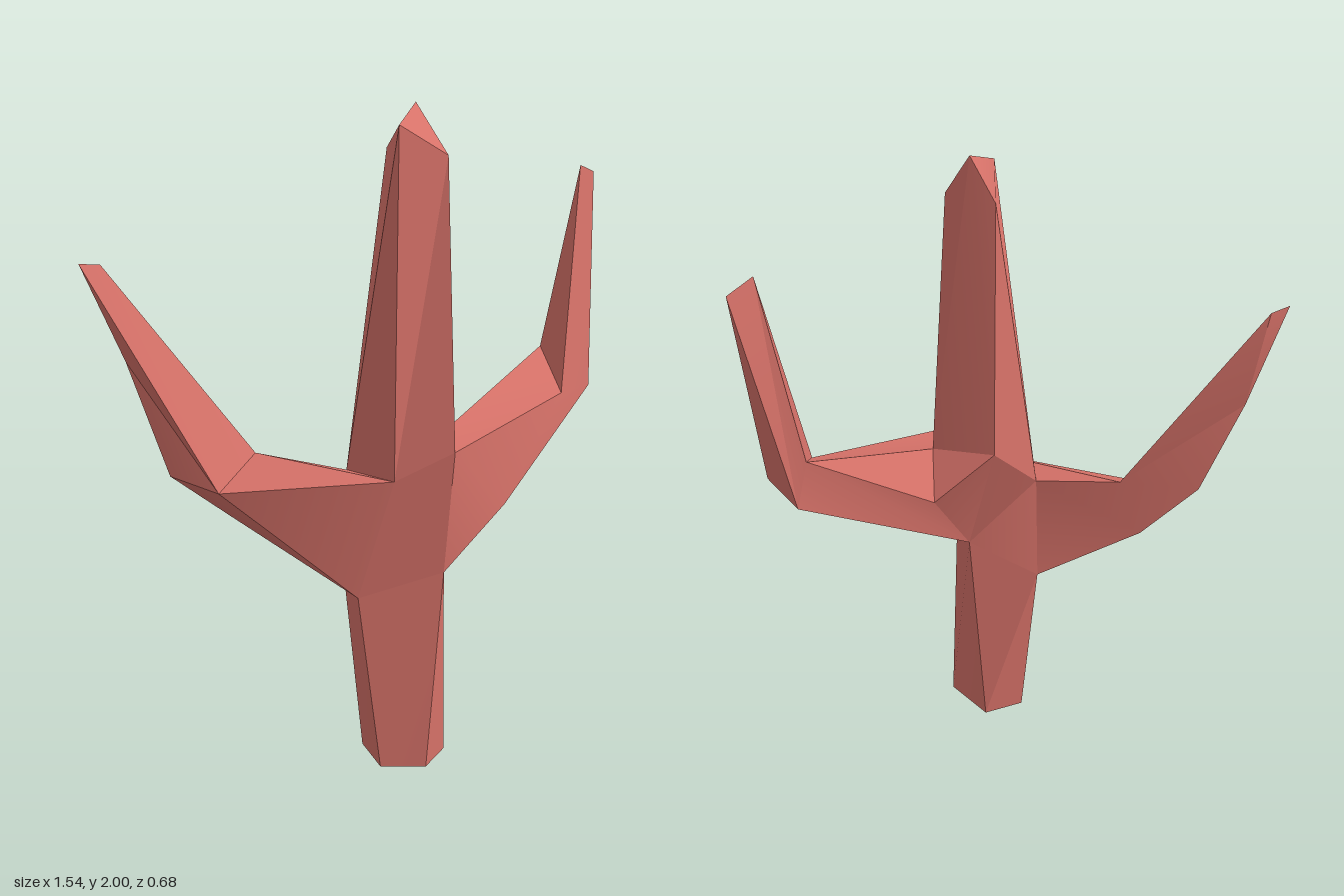
import * as THREE from 'three';
import { toCreasedNormals } from 'three/addons/utils/BufferGeometryUtils.js';

// Fan-triangulate polygons, skipping triangles with repeated corners
function triangles(polys) {
  const out = [];
  for (const p of polys)
    for (let i = 1; i < p.length - 1; i++) {
      const [a, b, c] = [p[0], p[i], p[i + 1]];
      if (a !== b && b !== c && a !== c) out.push(...a, ...b, ...c);
    }
  return out;
}

// Join successive cross-sections; a point listed twice closes a side to a corner
function loft(...rings) {
  const polys = [];
  for (let r = 0; r < rings.length - 1; r++) {
    const a = rings[r], b = rings[r + 1], n = a.length;
    for (let i = 0; i < n; i++) {
      const j = (i + 1) % n;
      polys.push([a[i], a[j], b[j], b[i]]);
    }
  }
  return polys;
}

export function createModel() {
  const group = new THREE.Group();
  const material = new THREE.MeshStandardMaterial({ color: 0xd9736a });

  function part(name, polys) {
    const g = new THREE.BufferGeometry();
    g.setAttribute('position', new THREE.Float32BufferAttribute(triangles(polys), 3));
    const mesh = new THREE.Mesh(toCreasedNormals(g, 0.5), material);
    mesh.name = name;
    group.add(mesh);
  }

  // Five-sided foot
  const foot = [[0.09, 0, 0.34], [0.23, 0, 0.34], [0.29, 0.01, 0.245], [0.15, 0.01, 0.115], [0.035, 0, 0.2]];

  // Bottom of the fork: front right, front left, back left, back right
  const lowFR = [0.02, 0.56, 0.33], lowFL = [0.275, 0.64, 0.32];
  const lowBL = [0.2, 0.7, 0.14], lowBR = [-0.025, 0.58, 0.16];

  // Top of the fork, where the middle branch starts
  const topFR = [0.125, 0.93, 0.335], topFL = [0.3, 1.02, 0.335], topL = [0.31, 1.05, 0.13];
  const topB = [0.1, 1.08, 0.06], topR = [-0.015, 0.92, 0.195];
  const backL = [0.29, 0.91, 0.03];

  part('trunk', [
    [...foot].reverse(),
    ...loft(foot, [lowFR, lowFL, lowFL, lowBL, lowBR]),
  ]);

  part('fork', [
    [lowFR, lowFL, topFL, topFR],
    [lowBL, lowBR, topR],
    [lowBL, topR, topB, backL],
    [topL, backL, topB],
  ]);

  // Middle branch with a slanted tip
  const tipF = [0.13, 1.95, 0.31], tipL = [0.27, 1.86, 0.245];
  const tipTop = [0.18, 2, 0.17], tipB = [0.1, 1.87, 0.14];
  part('middleBranch', [
    ...loft([topFR, topFL, topL, topB, topR], [tipF, tipL, tipL, tipTop, tipB]),
    [tipF, tipL, tipTop, tipB],
  ]);

  // Left branch: reaches out and back, then bends upward to a thin edge
  const bulge = [0.46, 0.82, 0.22];
  const elbowF = [0.655, 1.09, -0.05], elbowOut = [0.76, 1.08, -0.18];
  const elbowB = [0.64, 1.04, -0.28], elbowIn = [0.61, 1.19, -0.255];
  const leftTipA = [0.715, 1.77, -0.26], leftTipB = [0.77, 1.74, -0.34];
  part('leftBranch', [
    [bulge, topFL, lowFL, elbowOut, elbowF, topFL],
    [lowFL, lowBL, elbowB, elbowOut],
    [lowBL, backL, elbowIn, elbowB],
    [backL, topL, elbowIn],
    [topL, topFL, elbowF, elbowIn],
    ...loft([elbowF, elbowOut, elbowB, elbowIn], [leftTipA, leftTipB, leftTipB, leftTipA]),
  ]);

  // Right branch: a short reach, then a tapering triangular prong
  const bendF = [-0.39, 0.88, 0.3], bendB = [-0.29, 0.96, 0.155], bendLow = [-0.36, 0.76, 0.18];
  const bendOut = [-0.54, 0.91, 0.23], prongOut = [-0.665, 1.25, 0.18];
  const rightTipA = [-0.775, 1.555, 0.25], rightTipB = [-0.72, 1.545, 0.21];
  part('rightBranch', [
    ...loft([topFR, topR, lowBR, lowFR], [bendF, bendB, bendLow, bendLow]),
    ...loft(
      [bendF, bendB, bendLow],
      [bendF, bendB, bendOut],
      [bendF, bendB, prongOut],
      [rightTipA, rightTipB, rightTipB],
    ),
  ]);

  return group;
}
